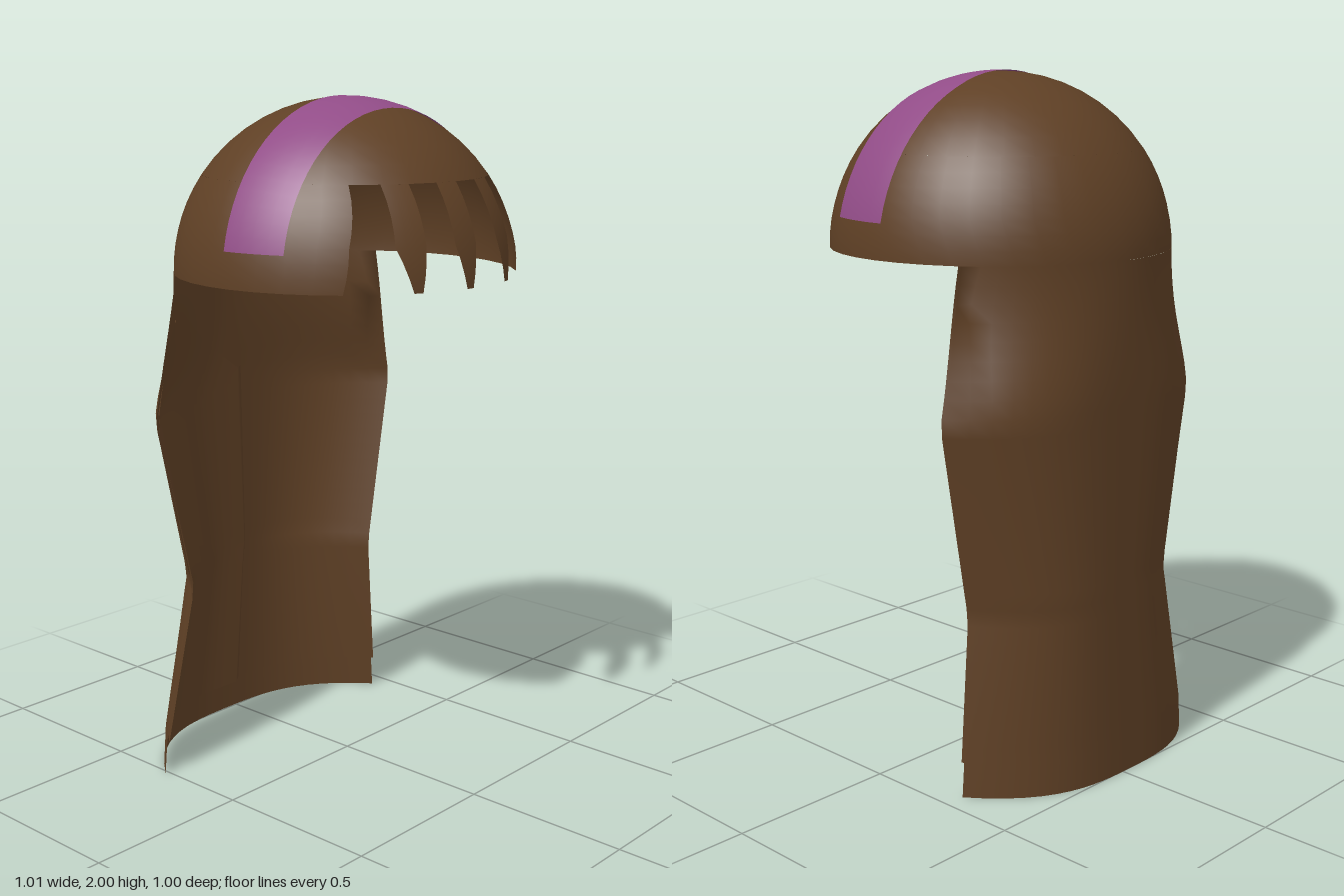
import * as THREE from 'three';
import { ParametricGeometry } from 'three/addons/geometries/ParametricGeometry.js';

const R = 0.498, CX = -0.01, CY = 1.5;

// Linear lookup in a list of [key, value] pairs with rising keys
function lookup(pairs, k) {
  if (k <= pairs[0][0]) return pairs[0][1];
  for (let i = 1; i < pairs.length; i++) {
    const [k0, v0] = pairs[i - 1], [k1, v1] = pairs[i];
    if (k <= k1) return v0 + (v1 - v0) * (k - k0) / (k1 - k0);
  }
  return pairs[pairs.length - 1][1];
}

// Half-outline of the back hair: x of each edge by height
const edgeLeft = [[0, 0.44], [0.52, 0.405], [1.08, 0.505], [1.5, 0.42]];
const edgeRight = [[0, -0.51], [0.1, -0.5], [0.56, -0.385], [1.08, -0.51], [1.5, -0.435]];

// Point on the back sheet; s runs from -1 to 1 across, inset moves it forward
function backPoint(s, y, inset, target) {
  const a = lookup(edgeLeft, y), b = lookup(edgeRight, y);
  const x = (a + b) / 2 + s * (a - b) / 2;
  const sheet = -0.28 - 0.223 * (1 - Math.abs(s) ** 3);
  const dome = -Math.sqrt(Math.max(R * R - (x - CX) ** 2, 0.07));
  const t = THREE.MathUtils.smoothstep(y, 1.1, 1.5);
  target.set(x, y, sheet + (dome - sheet) * t + inset);
}

export function createModel() {
  const group = new THREE.Group();
  const hair = new THREE.MeshStandardMaterial({ color: 0x5f4025, side: THREE.DoubleSide });
  hair.name = 'brown hair';
  const cloth = new THREE.MeshStandardMaterial({ color: 0x914c87, side: THREE.DoubleSide });
  cloth.name = 'purple cloth';

  function add(name, geometry, material) {
    const mesh = new THREE.Mesh(geometry, material);
    mesh.name = name;
    group.add(mesh);
    return mesh;
  }
  const surface = (name, fn, nu, nv, material = hair) =>
    add(name, new ParametricGeometry(fn, nu, nv), material);

  // Top of the dome
  const H = 0.28;
  add('crown', new THREE.SphereGeometry(R, 32, 8, 0, Math.PI * 2, 0, Math.acos(H / R)), hair)
    .position.set(CX, CY, 0);

  // Lower dome, open at the front for the fringe
  const openLeft = [[0, 0.335], [0.12, 0.272], [H, 0.23]];
  const openRight = [[0, -0.374], [0.12, -0.352], [H, -0.3]];
  surface('lowerCrown', (u, v, target) => {
    const h = v * H, r = Math.sqrt(R * R - h * h);
    const from = Math.asin(lookup(openLeft, h) / r);
    const to = Math.asin(lookup(openRight, h) / r) + Math.PI * 2;
    const phi = from + (to - from) * u;
    target.set(CX + r * Math.sin(phi), CY + h, r * Math.cos(phi));
  }, 28, 7);

  // Pointed fringe strands lying on the dome: [top x0, x1, middle x0, x1, tip x]
  const strands = [
    [-0.246, -0.177, -0.267, -0.188, -0.22],
    [-0.093, -0.019, -0.098, -0.019, -0.055],
    [0.071, 0.151, 0.087, 0.167, 0.13],
  ];
  for (const [t0, t1, m0, m1, tip] of strands) {
    const low = [[0, tip - 0.012], [0.12, m0], [H, t0]];
    const high = [[0, tip + 0.012], [0.12, m1], [H, t1]];
    surface('fringeStrand', (u, v, target) => {
      const h = v * H, a = lookup(low, h), b = lookup(high, h);
      const x = a + (b - a) * u;
      target.set(x, CY + h, Math.sqrt(R * R - (x - CX) ** 2 - h * h));
    }, 3, 7);
  }

  // Band across the dome from side to side
  surface('headband', (u, v, target) => {
    const rb = R + 0.003;
    const front = 0.19 - 0.015 * Math.sin(Math.PI * u);
    const rear = lookup([[0, -0.02], [0.35, -0.03], [0.5, -0.018], [1, 0.004]], u);
    const z = rear + (front - rear) * v;
    const r = Math.sqrt(rb * rb - z * z);
    const start = Math.asin(0.1 / r);
    const angle = start + (Math.PI - 2 * start) * u;
    target.set(CX + r * Math.cos(angle), CY + r * Math.sin(angle), z);
  }, 32, 4, cloth);

  // Long hair hanging behind
  surface('backHair', (u, v, target) => backPoint(1 - 2 * u, v * 1.5, 0, target), 24, 30);

  // Inner layers: one flat side, one overlapping lock with a slanted top
  surface('innerHairLeft', (u, v, target) =>
    backPoint(u, 0.1 + v * 1.4, 0.01, target), 12, 28);
  surface('innerHairRight', (u, v, target) => {
    const s = -1 + 1.08 * u;
    const top = 1.15 + 0.22 * Math.min(1, Math.max(0, -s / 0.6));
    const lift = s < 0 ? 0.01 + 0.03 * (1 + s) : 0.04 - 0.35 * s;
    backPoint(s, 0.1 + v * (top - 0.1), lift, target);
  }, 27, 24);

  return group;
}
